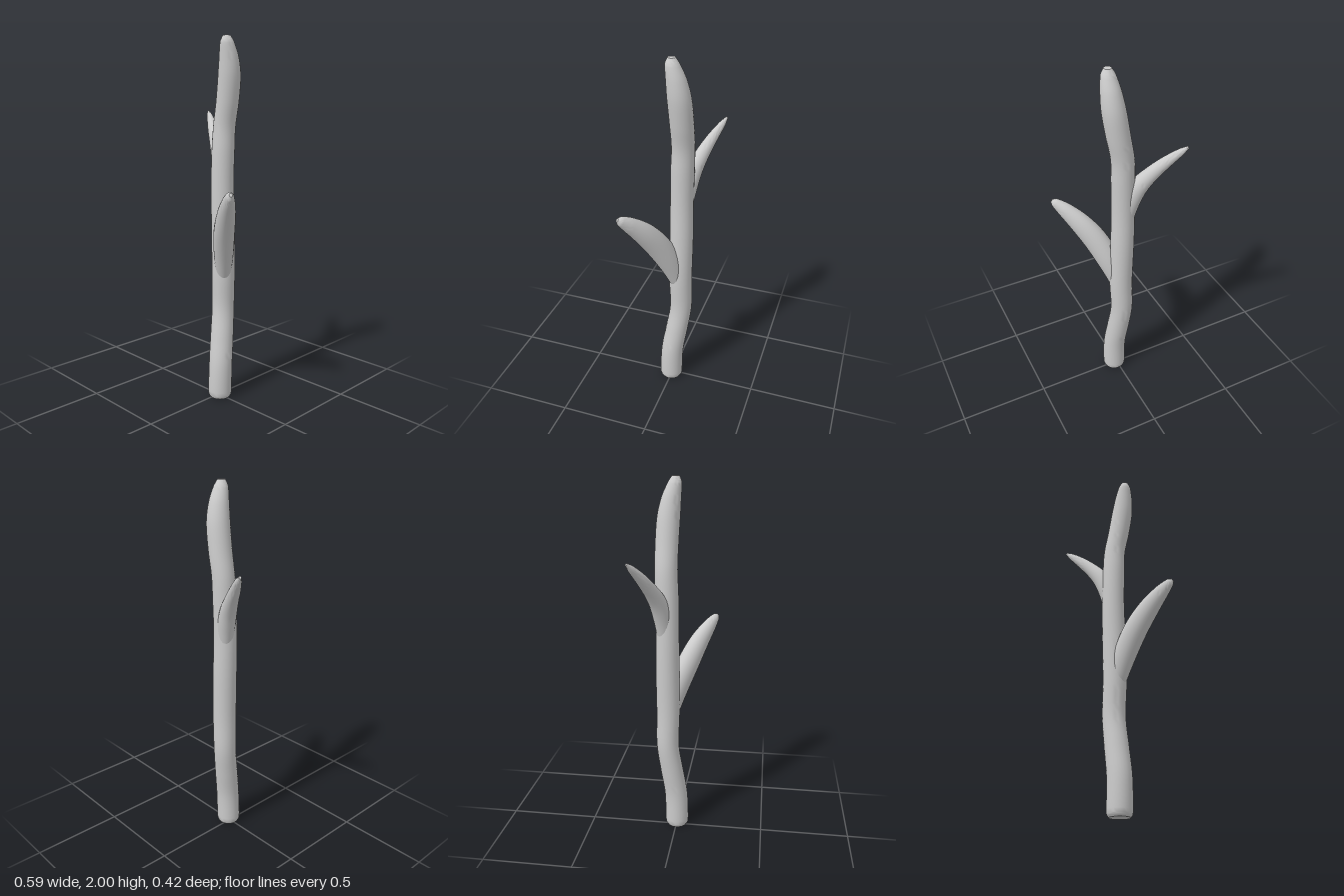
import * as THREE from 'three';
import { toCreasedNormals } from 'three/addons/utils/BufferGeometryUtils.js';

const material = new THREE.MeshStandardMaterial({ color: 0xcccccc });

// Sweeps closed rings along stations [x, y, z, radius]; "side" is the ring's
// fixed sideways axis, "squash" narrows it, "level" keeps the rings horizontal.
function limb(name, stations, { side, squash = 1, level = false, sides = 24, steps = 6 }) {
  const path = new THREE.CatmullRomCurve3(stations.map(([x, y, z]) => new THREE.Vector3(x, y, z)));
  const radii = new THREE.CatmullRomCurve3(stations.map((p, i) => new THREE.Vector3(p[3], i, 0)));
  const rings = (stations.length - 1) * steps;
  const up = new THREE.Vector3(0, 1, 0);
  const positions = [];
  const indices = [];

  const addRing = (t, closed) => {
    const centre = path.getPoint(t);
    const tangent = level ? up : path.getTangent(t);
    const normal = tangent.clone().cross(side).normalize();
    const r = closed ? 0 : Math.max(radii.getPoint(t).x, 0.002);
    for (let j = 0; j < sides; j++) {
      const a = (j / sides) * Math.PI * 2;
      const p = centre.clone()
        .addScaledVector(side, Math.cos(a) * r * squash)
        .addScaledVector(normal, Math.sin(a) * r);
      positions.push(p.x, p.y, p.z);
    }
  };

  // zero-radius end rings close both ends
  addRing(0, true);
  for (let i = 0; i <= rings; i++) addRing(i / rings, false);
  addRing(1, true);

  for (let i = 0; i < rings + 2; i++) {
    for (let j = 0; j < sides; j++) {
      const k = (j + 1) % sides;
      const a = i * sides + j, b = i * sides + k;
      const c = a + sides, d = b + sides;
      if (i > 0) indices.push(a, b, c);
      if (i < rings + 1) indices.push(b, d, c);
    }
  }

  const geometry = new THREE.BufferGeometry();
  geometry.setAttribute('position', new THREE.Float32BufferAttribute(positions, 3));
  geometry.setIndex(indices);
  const mesh = new THREE.Mesh(toCreasedNormals(geometry, 0.8), material);
  mesh.name = name;
  return mesh;
}

export function createModel() {
  const group = new THREE.Group();
  group.name = 'branchedStick';

  // gently wavering main stem with a rounded tip
  group.add(limb('mainStem', [
    [0.015, 0, 0.003, 0.056],
    [0.015, 0.02, 0.003, 0.066],
    [0.015, 0.2, -0.003, 0.066],
    [0.002, 0.36, -0.026, 0.065],
    [-0.01, 0.52, -0.047, 0.063],
    [-0.006, 0.72, -0.045, 0.065],
    [-0.012, 1.0, -0.047, 0.065],
    [-0.016, 1.2, -0.046, 0.063],
    [-0.013, 1.4, -0.049, 0.063],
    [-0.008, 1.53, -0.053, 0.061],
    [0.015, 1.66, -0.052, 0.062],
    [0.036, 1.8, -0.045, 0.061],
    [0.045, 1.9, -0.031, 0.051],
    [0.049, 1.97, -0.014, 0.036],
    [0.05, 2.0, -0.01, 0.02],
  ], { side: new THREE.Vector3(1, 0, 0), level: true }));

  // both side branches lie in one slanted vertical plane
  const side = new THREE.Vector3(0.57, 0, -0.82).normalize();

  group.add(limb('lowerBranch', [
    [-0.002, 0.7, -0.04, 0.05],
    [0.042, 0.85, 0.002, 0.066],
    [0.1, 0.985, 0.055, 0.069],
    [0.167, 1.09, 0.107, 0.06],
    [0.235, 1.17, 0.16, 0.042],
    [0.275, 1.208, 0.19, 0.025],
    [0.288, 1.218, 0.199, 0.01],
  ], { side, squash: 0.82 }));

  group.add(limb('upperBranch', [
    [-0.018, 1.14, -0.052, 0.045],
    [-0.045, 1.27, -0.066, 0.052],
    [-0.08, 1.36, -0.084, 0.05],
    [-0.132, 1.435, -0.112, 0.041],
    [-0.2, 1.513, -0.15, 0.031],
    [-0.26, 1.575, -0.187, 0.019],
    [-0.29, 1.603, -0.204, 0.007],
  ], { side, squash: 0.9 }));

  return group;
}
